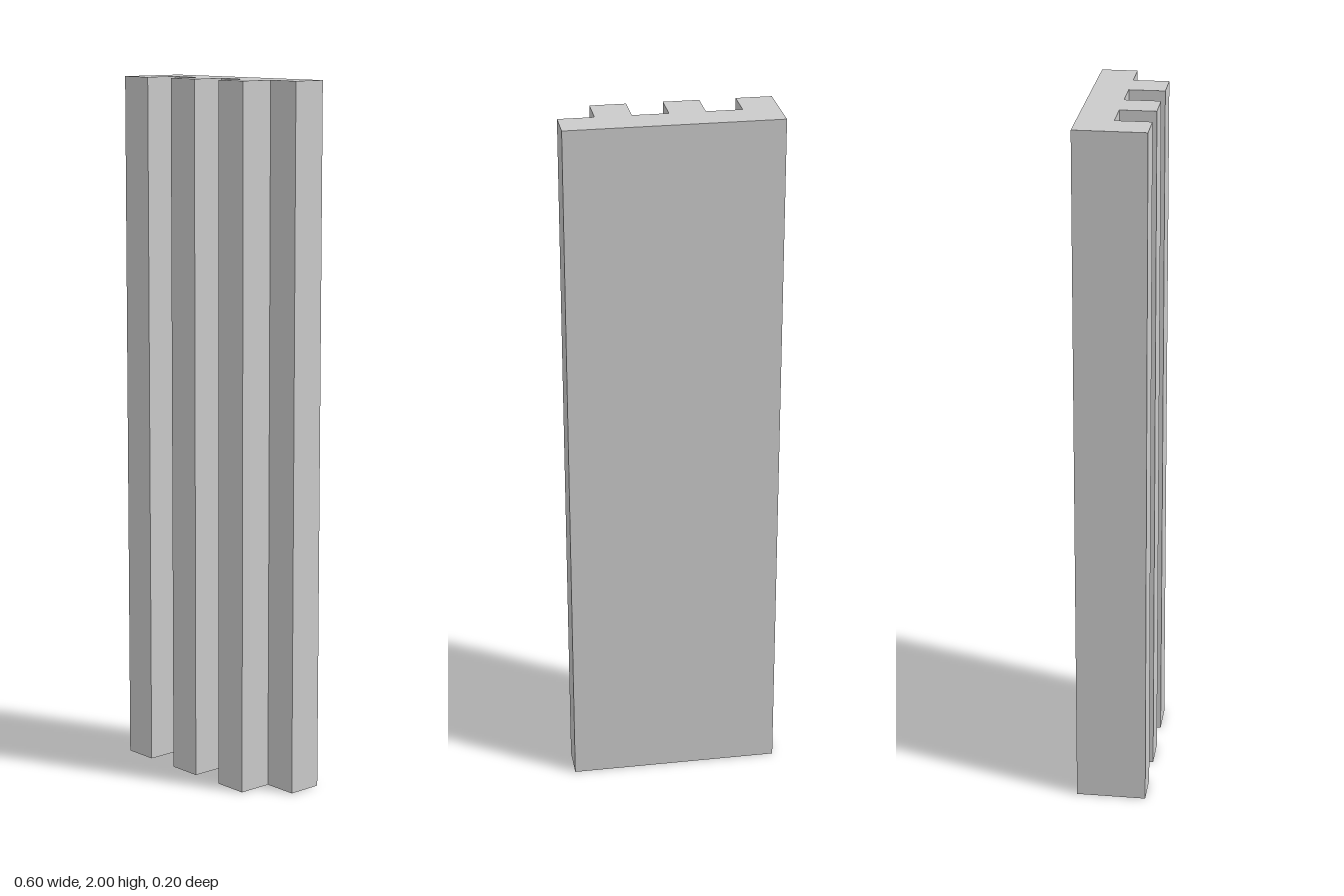
import * as THREE from 'three';

const HEIGHT = 2, HALF_WIDTH = 0.3, HALF_DEPTH = 0.1, RIB = 0.1;

export function createModel() {
  const group = new THREE.Group();
  group.name = 'ribbedPanel';

  // Plan outline: flat back, three square ribs on the front (shape y = -z)
  const outline = new THREE.Shape();
  outline.moveTo(HALF_WIDTH, HALF_DEPTH);
  outline.lineTo(-HALF_WIDTH, HALF_DEPTH);
  for (let i = 0; i < 3; i++) {
    const x = -HALF_WIDTH + i * 2 * RIB;
    if (i > 0) outline.lineTo(x, 0);
    outline.lineTo(x, -HALF_DEPTH);
    outline.lineTo(x + RIB, -HALF_DEPTH);
    outline.lineTo(x + RIB, 0);
  }
  outline.lineTo(HALF_WIDTH, 0);
  outline.closePath();

  // Extrude the outline upwards from the ground
  const geometry = new THREE.ExtrudeGeometry(outline, { depth: HEIGHT, bevelEnabled: false });
  geometry.rotateX(-Math.PI / 2);

  const panel = new THREE.Mesh(
    geometry,
    new THREE.MeshStandardMaterial({ color: 0xcccccc, flatShading: true })
  );
  panel.name = 'panelWithRibs';
  group.add(panel);
  return group;
}
